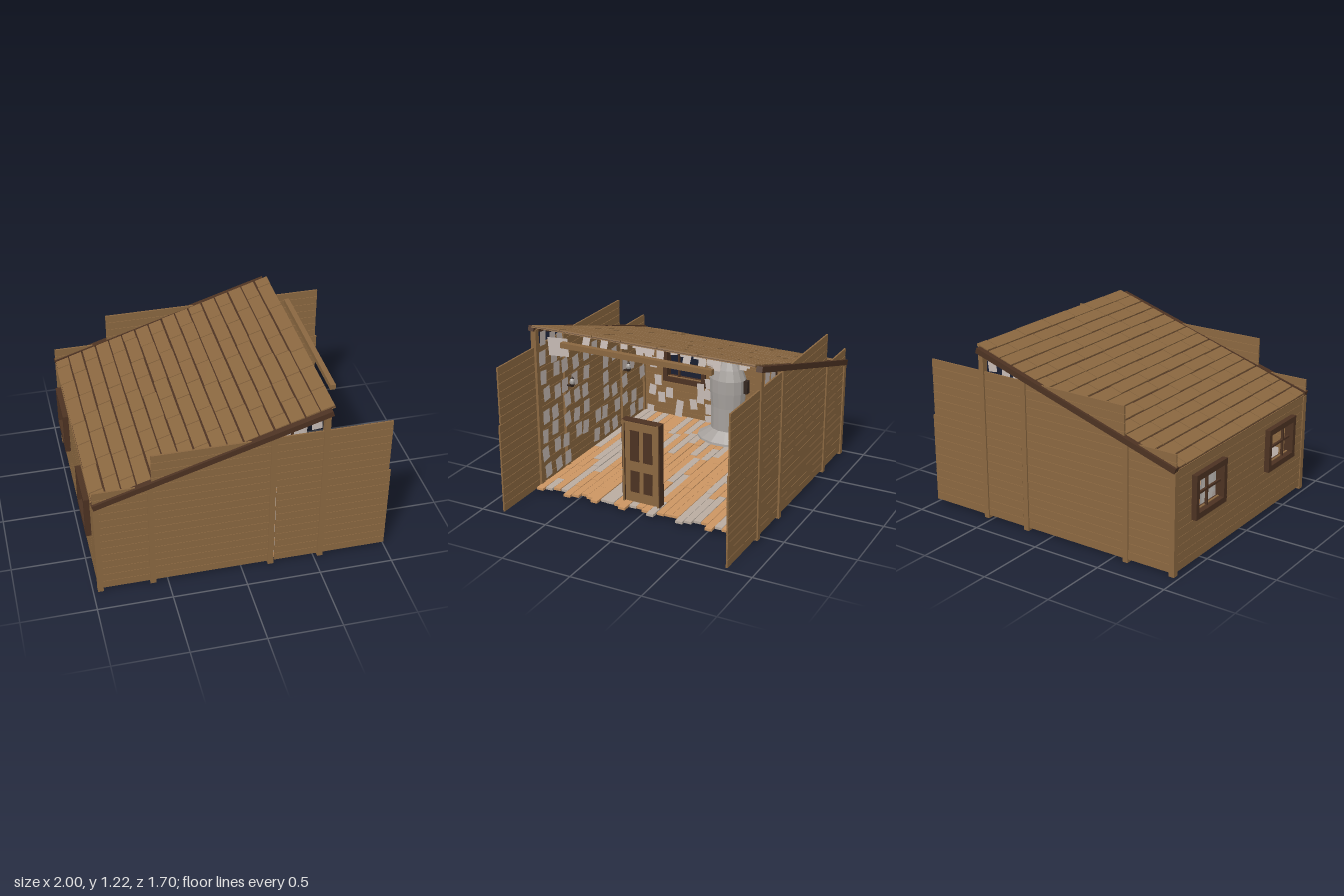
import * as THREE from 'three';

export function createModel() {
  const root = new THREE.Group();
  root.name = 'plankCabin';
  const material = (name, color, extra = {}) => {
    const m = new THREE.MeshStandardMaterial({ color, ...extra });
    m.name = name;
    return m;
  };
  const wood = material('wood', 0x8a6740);
  const darkWood = material('darkWood', 0x4c3222);
  const paleWood = material('paleWood', 0xcb9562);
  const greyWood = material('greyWood', 0xb9aca0);
  const paper = material('paper', 0xc6bab4, { side: THREE.DoubleSide });
  const stone = material('stone', 0xa5a09c, { flatShading: true, side: THREE.DoubleSide });
  const iron = material('iron', 0x33261f);

  let seed = 7;
  const rnd = () => (seed = (seed * 16807) % 2147483647) / 2147483647;
  const jitter = (a) => (rnd() - 0.5) * 2 * a;
  const group = (name, parent = root) => {
    const g = new THREE.Group();
    g.name = name;
    parent.add(g);
    return g;
  };
  const add = (parent, name, geo, mat, x, y, z) => {
    const m = new THREE.Mesh(geo, mat);
    m.name = name;
    m.position.set(x, y, z);
    parent.add(m);
    return m;
  };
  const box = (parent, name, mat, w, h, d, x, y, z) =>
    add(parent, name, new THREE.BoxGeometry(w, h, d), mat, x, y, z);
  const roofY = (x) => 0.725 + 0.318 * (x + 0.97);
  const slope = Math.atan(0.318);
  const pitch = 0.0573;

  // Side walls: three bays of boards between posts, rails under the roof
  const bays = [[-0.968, -0.617, 14], [-0.588, 0.213, 18], [0.228, 1, 18]];
  for (const s of [1, -1]) {
    const side = group(s > 0 ? 'frontWall' : 'rearWall');
    bays.forEach(([x0, x1, rows], b) => {
      for (let r = 0; r < rows; r++) {
        const upper = b === 2 && r > 10;
        const end = upper ? x1 - 0.013 : x1;
        const start = upper ? 0.213 : x0;
        const board = box(side, 'wallBoard', wood, end - start, pitch - 0.003, 0.012,
          (start + end) / 2, 0.02 + (r + 0.5) * pitch, s * 0.826);
        board.rotation.z = jitter(0.0012);
      }
    });
    for (const x of [-0.95, -0.6, 0.2, 0.545]) {
      const h = roofY(x) - 0.03;
      box(side, 'post', wood, 0.038, h, 0.04, x, h / 2, s * 0.822);
    }
    const rail = box(side, 'roofRail', darkWood, 1.616, 0.038, 0.042, -0.197, 0.953, s * 0.829);
    rail.rotation.z = 0.2983;
  }

  // End wall of boards, cut around the two windows
  const endWall = group('endWall');
  for (let r = 0; r < 12; r++) {
    const spans = r >= 6 && r <= 9 ? [[-0.81, -0.61], [-0.3, 0.3], [0.61, 0.81]] : [[-0.81, 0.81]];
    for (const [z0, z1] of spans)
      box(endWall, 'endBoard', wood, 0.014, pitch - 0.002, z1 - z0, -0.955, 0.02 + (r + 0.5) * pitch, (z0 + z1) / 2);
  }

  // Windows: deep frame with a cross of glazing bars
  for (const [zc, bar] of [[0.458, 0.515], [-0.458, -0.47]]) {
    const win = group('window');
    for (const y of [0.338, 0.6]) box(win, 'windowRail', darkWood, 0.065, 0.04, 0.365, -0.967, y, zc);
    for (const s of [1, -1]) box(win, 'windowStile', darkWood, 0.064, 0.26, 0.034, -0.967, 0.47, zc + s * 0.165);
    box(win, 'crossBar', darkWood, 0.016, 0.014, 0.31, -0.965, 0.472, zc);
    box(win, 'uprightBar', darkWood, 0.016, 0.23, 0.014, -0.965, 0.47, bar);
  }

  // Roof: ceiling boards, a dark layer, then courses of shingles with open staggered joints
  const roof = group('roof');
  const courses = 16, step = 1.57 / courses;
  const rise = step / Math.cos(slope);
  const layer = (name, mat, w, h, z0, z1, x, lift) => {
    box(roof, name, mat, w, h, z1 - z0, x, roofY(x) + lift, (z0 + z1) / 2).rotation.z = slope;
  };
  layer('underlay', darkWood, rise * courses - 0.01, 0.003, -0.808, 0.808, -0.185, -0.01);
  for (let c = 0; c < courses; c++) {
    const x = -0.97 + (c + 0.5) * step;
    layer('ceilingBoard', wood, rise - 0.003, 0.006, -0.81, 0.81, x, -0.0148);
    let z = -0.812;
    let length = 0.1 + ((c * 3) % 5) * 0.045;
    while (z < 0.805) {
      let z1 = Math.min(0.812, z + length);
      if (0.812 - z1 < 0.06) z1 = 0.812;
      layer('shingle', wood, rise - 0.011, 0.01, z, z1 - 0.007, x + jitter(0.002), -0.003 + jitter(0.001));
      z = z1;
      length = 0.2 + rnd() * 0.12;
    }
  }
  box(root, 'hangingBeam', wood, 0.036, 0.036, 1.09, 0.672, 1.156, -0.015);

  // Floor: mixed planks with ragged ends on the open side
  const floor = group('floor');
  const floorMats = [paleWood, paleWood, greyWood];
  const rows = 30, width = 1.62 / rows;
  for (let i = 0; i < rows; i++) {
    let x = -0.95;
    const end = i % 4 === 1 ? 0.625 : 0.56 + rnd() * 0.04;
    while (x < end - 0.01) {
      let x1 = x + 0.2 + rnd() * 0.25;
      if (end - x1 < 0.12) x1 = end;
      box(floor, 'floorPlank', floorMats[Math.floor(rnd() * 3)], x1 - x - 0.004, 0.018, width - 0.003,
        (x + x1) / 2, 0.031 + jitter(0.003), -0.81 + (i + 0.5) * width);
      x = x1;
    }
  }

  // Panelled door standing at the open side
  const door = group('door');
  door.position.set(0.57, 0, -0.005);
  for (const s of [1, -1]) box(door, 'doorJamb', darkWood, 0.06, 0.59, 0.018, 0, 0.385, s * 0.131);
  box(door, 'doorHead', darkWood, 0.06, 0.018, 0.244, 0, 0.671, 0);
  box(door, 'doorSlab', wood, 0.03, 0.572, 0.246, 0.004, 0.376, 0);
  for (const s of [1, -1]) {
    box(door, 'jambTrim', wood, 0.006, 0.59, 0.012, 0.033, 0.385, s * 0.128);
    for (const [y, h] of [[0.5, 0.22], [0.24, 0.155]])
      for (const f of [1, -1])
        box(door, 'doorPanel', darkWood, 0.006, h, 0.066, 0.004 + f * 0.016, y, s * 0.049);
  }
  box(door, 'headTrim', wood, 0.006, 0.012, 0.24, 0.033, 0.668, 0);

  // Round stone hearth against the end wall, with an iron side handle
  const profile = [[0.24, 0.035], [0.235, 0.055], [0.17, 0.095], [0.13, 0.12], [0.13, 0.3], [0.14, 0.42],
    [0.14, 0.52], [0.11, 0.6], [0.075, 0.67], [0.05, 0.71], [0.0, 0.75]].map((p) => new THREE.Vector2(...p));
  const hearth = add(root, 'hearth', new THREE.LatheGeometry(profile, 14), stone, -0.76, 0, 0);
  hearth.scale.x = 0.78;
  box(root, 'hearthHandle', iron, 0.04, 0.1, 0.03, -0.76, 0.47, -0.15);

  // Loose paper sheets; centres given as pairs in hundredths
  const sheets = group('papers');
  const sheet = (w, h, x, y, z, ry, lean = 0) => {
    const m = add(sheets, 'paperSheet', new THREE.PlaneGeometry(w, h), paper, x, y, z);
    m.rotation.set(lean, ry, jitter(0.16), 'YXZ');
  };
  const pairs = (list, place) => {
    for (let i = 0; i < list.length; i += 2) place(list[i] / 100, list[i + 1] / 100);
  };
  pairs([69, 66, 53, 62, 46, 59, 40, 62, 29, 65, 23, 61, 77, 55, 72, 46, 68, 32, 31, 31, 21, 46, 23, 55, 24, 36,
    25, 27, 73, 23, 65, 18, 58, 23, 49, 14, 37, 17, 31, 23, 24, 15, 75, 7, 50, 7, 24, 7, -19, 65, -31, 63, -37, 63,
    -45, 61, -54, 63, -68, 64, -66, 50, -72, 53, -73, 34, -61, 30, -53, 31, -41, 26, -31, 34, -20, 21, -24, 17,
    -32, 13, -43, 18, -52, 20, -65, 17, -32, 7, -53, 7, -65, 7],
  (z, y) => sheet(0.06, y < 0.1 ? 0.055 : 0.085, -0.931 + rnd() * 0.006, y, z, Math.PI / 2));
  pairs([52, 109, 40, 108, 15, 107, 10, 106, -4, 109, -22, 108, -33, 108, -45, 109, 41, 99, 24, 99, 18, 100,
    -10, 100, -24, 98, -48, 98, 54, 92, 44, 92, 34, 92, 14, 92, -4, 92, -18, 93, -42, 92, 44, 75],
  (z, y) => sheet(0.054, 0.085, (y + 0.065 - 0.725) / 0.318 - 0.97, y, z, Math.PI / 2, -0.15));
  sheet(0.16, 0.13, 0.42, 1.025, 0.72, Math.PI / 2);
  sheet(0.09, 0.16, -0.92, 0.12, -0.76, Math.PI / 2);
  for (const s of [1, -1]) {
    const turn = s > 0 ? Math.PI : 0;
    for (let x = -0.87; x < 0.5; x += 0.135)
      for (let y = 0.11; y < roofY(x) - 0.13; y += 0.14)
        if (rnd() < 0.85)
          sheet(0.078, 0.1, x + jitter(0.025), y + jitter(0.02), s * (0.798 + rnd() * 0.006), turn);
    for (const x of [0.28, 0.37, 0.485]) sheet(0.07, 0.1, x, roofY(x) - 0.09, s * 0.797, turn);
  }

  // Wall lanterns on the inner posts
  for (const s of [1, -1])
    for (const [x, y] of [[0.2, 0.69], [-0.6, 0.53]]) {
      const lamp = group('lantern');
      lamp.position.set(x, y, s * 0.757);
      box(lamp, 'lanternArm', iron, 0.012, 0.01, 0.055, 0, -0.035, s * 0.022);
      add(lamp, 'lanternCup', new THREE.CylinderGeometry(0.02, 0.01, 0.02, 8), iron, 0, -0.028, 0);
      add(lamp, 'lanternGlobe', new THREE.SphereGeometry(0.02, 8, 6), stone, 0, 0, 0).scale.y = 1.3;
      add(lamp, 'lanternCap', new THREE.ConeGeometry(0.014, 0.016, 8), iron, 0, 0.03, 0);
    }

  return root;
}
